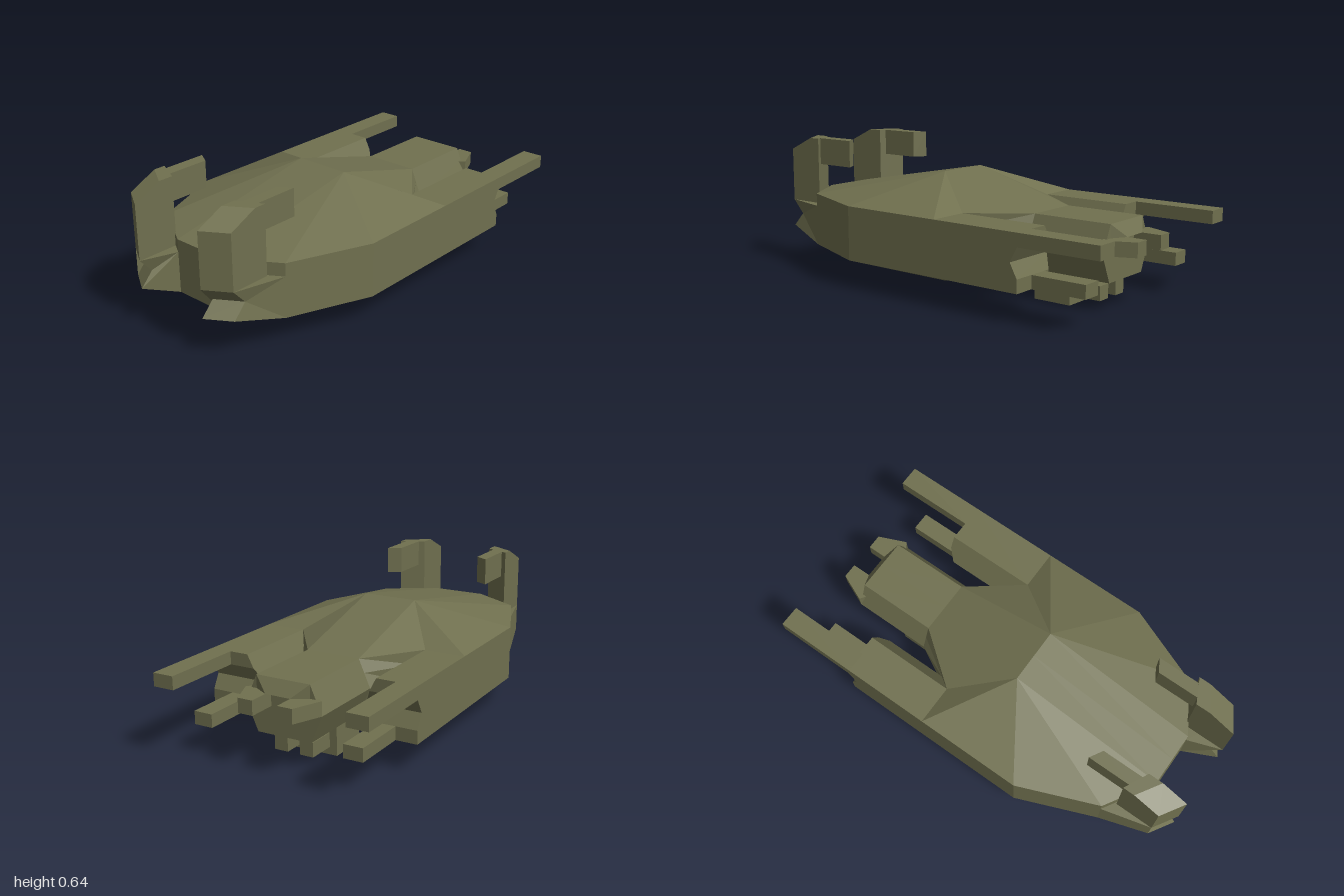
import * as THREE from 'three';

const olive = new THREE.MeshStandardMaterial({ color: 0x70704f });
olive.name = 'olive hull';

// Builds a faceted mesh from convex polygons given on the +x side, mirrored to -x
function mirrored(name, polygons) {
  const pos = [];
  const fan = (p) => {
    for (let i = 1; i < p.length - 1; i++) pos.push(...p[0], ...p[i], ...p[i + 1]);
  };
  for (const p of polygons) {
    fan(p);
    fan(p.map(([x, y, z]) => [-x, y, z]).reverse());
  }
  const g = new THREE.BufferGeometry();
  g.setAttribute('position', new THREE.Float32BufferAttribute(pos, 3));
  g.computeVertexNormals();
  const mesh = new THREE.Mesh(g, olive);
  mesh.name = name;
  return mesh;
}

// Polygons of an upright prism; plan is [x, z] counterclockwise from above
function prism(plan, y0, y1) {
  const lo = plan.map(([x, z]) => [x, y0, z]);
  const hi = plan.map(([x, z]) => [x, y1, z]);
  const sides = plan.map((_, i) => {
    const j = (i + 1) % plan.length;
    return [lo[i], lo[j], hi[j], hi[i]];
  });
  return [...sides, hi, [...lo].reverse()];
}

const bar = (x0, x1, z0, z1) => [[x0, z0], [x1, z0], [x1, z1], [x0, z1]];

// Half outline of the hull at height y; inner flanks bulge and the stern dents at mid height
function outline(y) {
  const d = Math.abs(y - 0.255);
  const a = 1 - d / 0.125;
  const b = Math.max(0, 1 - d / 0.065);
  const stern = -0.615 + 0.035 * b;
  return [
    [0, 0.84], [0.13, 0.84], [0.36, 0.7], [0.51, 0.33], [0.51, -0.18], [0.51, stern],
    [0.32 - 0.065 * a, stern], [0.32 - 0.065 * a, -0.18 - 0.09 * a],
    [0.13 + 0.055 * a, -0.43], [0.13 + 0.055 * a, -0.81], [0, -0.81],
  ].map(([x, z]) => [x, y, z]);
}

// Hull deck or belly, rising to a ridge at height peak
function cap(y, peak) {
  const o = outline(y);
  const p = [0.13, peak, 0.08];
  const c = [0, peak, 0.08];
  const m = [0, y, -0.43];
  const faces = [[p, c, o[0], o[1]], [p, o[8], m, c], [o[8], o[9], o[10], m], [o[7], o[4], o[5], o[6]]];
  const rim = [1, 2, 3, 4, 7, 8];
  for (let i = 0; i < rim.length - 1; i++) faces.push([p, o[rim[i]], o[rim[i + 1]]]);
  return faces;
}

function hull() {
  const faces = [...cap(0.38, 0.52), ...cap(0.13, 0).map((f) => f.reverse())];
  const rings = [0.13, 0.19, 0.255, 0.32, 0.38].map(outline);
  for (let r = 0; r < 4; r++) {
    for (let i = 0; i < 10; i++) {
      const a = rings[r][i], b = rings[r][i + 1], c = rings[r + 1][i + 1], d = rings[r + 1][i];
      faces.push([a, b, c], [a, c, d]);
    }
  }
  return faces;
}

// Wedge foot in front of the bow with a notched mouth
function foot() {
  const A = (y) => [0.13, y, 0.84];
  const B = (y, r = 0) => [0.187, y, 1 - r];
  const C = (y, r = 0) => [0.3, y, 0.93 - r];
  const D = (y) => [0.36, y, 0.7];
  const b = B(0.255, 0.06);
  const c = C(0.255, 0.06);
  return [
    [A(0.13), B(0.19), b, B(0.32), A(0.32)],
    [B(0.19), C(0.19), c, b],
    [b, c, C(0.32), B(0.32)],
    [c, C(0.19), D(0.13), D(0.32), C(0.32)],
    [A(0.32), B(0.32), C(0.32), D(0.32)],
    [A(0.13), D(0.13), C(0.19), B(0.19)],
  ];
}

// Tall post with a sloped front top
function tower() {
  const I = (y) => [0.187, y, 0.8];
  const B = (y) => [0.187, y, 1];
  const C = (y) => [0.3, y, 0.93];
  const O = (y) => [0.3, y, 0.745];
  const r1 = [0.187, 0.637, 0.87];
  const r2 = [0.3, 0.637, 0.8];
  return [
    [I(0.32), B(0.32), B(0.575), r1, I(0.637)],
    [B(0.32), C(0.32), C(0.575), B(0.575)],
    [C(0.32), O(0.32), O(0.637), r2, C(0.575)],
    [O(0.32), I(0.32), I(0.637), O(0.637)],
    [B(0.575), C(0.575), r2, r1],
    [r1, r2, O(0.637), I(0.637)],
    [I(0.32), O(0.32), C(0.32), B(0.32)],
  ];
}

// Bevelled lip over the centre stern
function sternLip() {
  const t = [0.13, 0.38, -0.81], s = [0.13, 0.32, -0.81], e = [0.06, 0.32, -0.85];
  return [
    [t, e, [0, 0.32, -0.85], [0, 0.38, -0.81]],
    [t, s, e],
    [s, [0, 0.32, -0.81], [0, 0.32, -0.85], e],
  ];
}

export function createModel() {
  const model = new THREE.Group();
  model.name = 'ship';
  const add = (name, faces) => model.add(mirrored(name, faces));

  add('hull', hull());
  // Bow pylons
  add('pylonFeet', foot());
  add('pylonTowers', tower());
  add('pylonArms', prism([[0.215, 0.787], [0.275, 0.757], [0.275, 0.555], [0.215, 0.59]], 0.51, 0.637));
  // Stern prongs
  add('upperProngs', prism(bar(0.41, 0.51, -0.6, -1), 0.32, 0.38));
  add('lowerProngs', prism(bar(0.32, 0.41, -0.6, -0.875), 0.13, 0.19));
  add('sternLip', sternLip());
  add('centreProngs', prism([[0.06, -0.79], [0.155, -0.79], [0.185, -0.81], [0.13, -0.94], [0.06, -0.94]], 0.255, 0.32));
  // Block under the tail with two short prongs
  const keel = new THREE.Mesh(new THREE.BoxGeometry(0.26, 0.13, 0.185), olive);
  keel.name = 'keelBlock';
  keel.position.set(0, 0.066, -0.523);
  model.add(keel);
  add('keelProngs', prism(bar(0.03, 0.095, -0.6, -0.745), 0.035, 0.1));
  return model;
}
